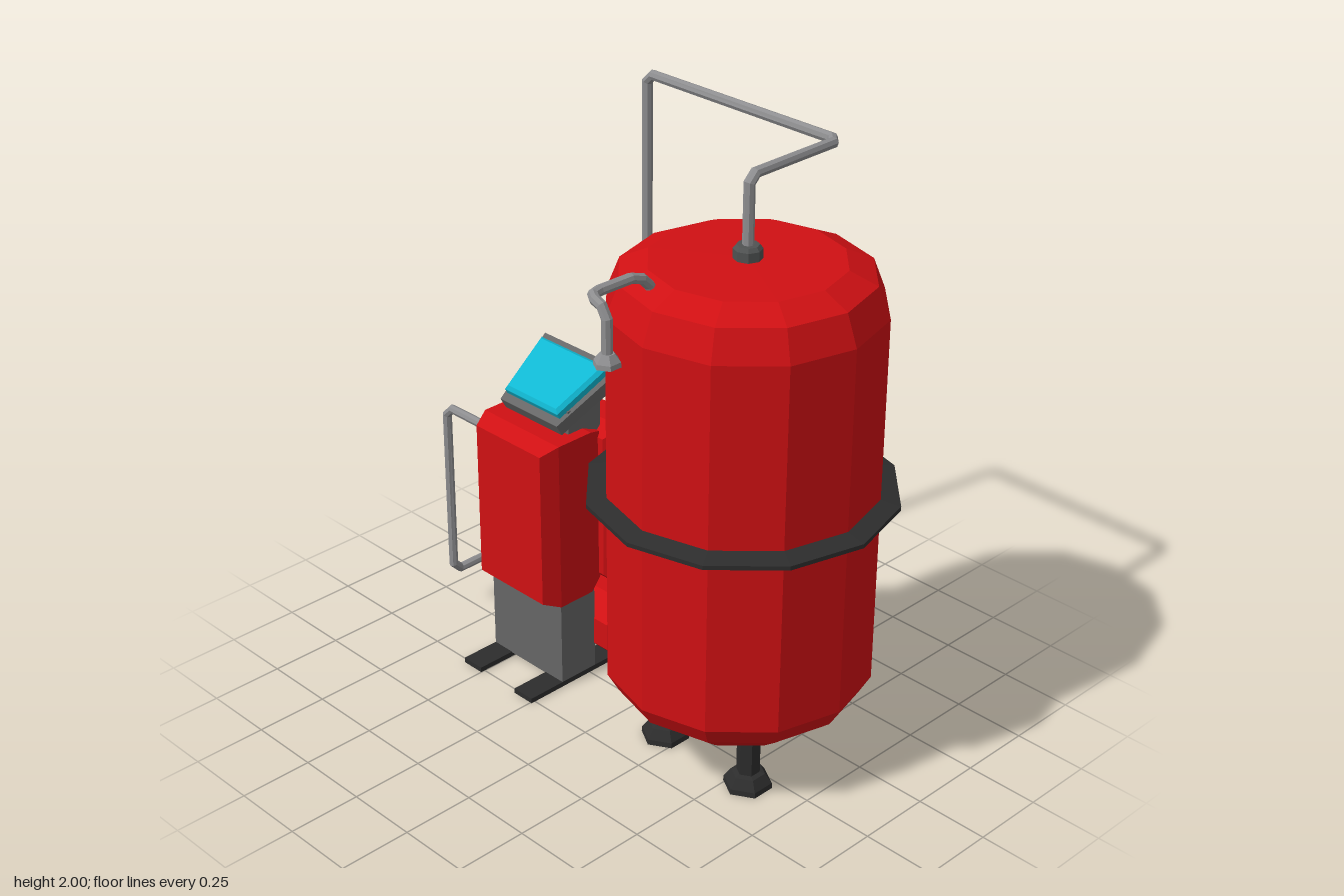
import * as THREE from 'three';

const paint = (color) => new THREE.MeshStandardMaterial({ color, flatShading: true });

// Curve that visits its points exactly, so tube rings sit on the bends
class BentPath extends THREE.Curve {
  constructor(pts) { super(); this.pts = pts; }
  index(u) { return Math.round(u * (this.pts.length - 1)); }
  getPoint(u, out = new THREE.Vector3()) { return out.copy(this.pts[this.index(u)]); }
  getPointAt(u, out) { return this.getPoint(u, out); }
  getTangentAt(u, out = new THREE.Vector3()) {
    const i = this.index(u), p = this.pts, dir = new THREE.Vector3();
    out.set(0, 0, 0);
    if (i > 0) out.add(dir.subVectors(p[i], p[i - 1]).normalize());
    if (i < p.length - 1) out.add(dir.subVectors(p[i + 1], p[i]).normalize());
    return out.normalize();
  }
}

// Pipe with every corner cut by a short bend
function pipeGeometry(points, radius, cut) {
  const v = points.map((p) => new THREE.Vector3(...p));
  const path = [];
  v.forEach((p, i) => {
    if (i === 0 || i === v.length - 1 || cut === 0) { path.push(p); return; }
    for (const q of [v[i - 1], v[i + 1]]) {
      path.push(p.clone().add(q.clone().sub(p).setLength(cut)));
    }
  });
  return new THREE.TubeGeometry(new BentPath(path), path.length - 1, radius, 8);
}

function rectPoints(w, h) {
  return [[-w, -h], [w, -h], [w, h], [-w, h]].map(([x, y]) => new THREE.Vector2(x / 2, y / 2));
}

// Shape extruded along z from 0 to depth, with one flat chamfer inside that depth
function chamfered(shape, depth, size, thickness = size) {
  return new THREE.ExtrudeGeometry(shape, {
    depth: depth - 2 * thickness, bevelEnabled: true, bevelSegments: 1,
    bevelSize: size, bevelThickness: thickness, curveSegments: 1,
  }).translate(0, 0, thickness);
}

// Trapezoid, wider at the top
function trapezoid(top, bottom, h) {
  return new THREE.Shape([[-bottom, -h], [bottom, -h], [top, h], [-top, h]]
    .map(([x, y]) => new THREE.Vector2(x / 2, y / 2)));
}

const lathe = (profile, sides) =>
  new THREE.LatheGeometry(profile.map(([r, y]) => new THREE.Vector2(r, y)), sides);

export function createModel() {
  const model = new THREE.Group();
  model.name = 'pressureTankSystem';
  const red = paint(0xd01013); red.name = 'red paint';
  const black = paint(0x2d2d2d); black.name = 'black rubber';
  const grey = paint(0x666666); grey.name = 'grey metal';
  const dark = paint(0x505252); dark.name = 'dark fittings';
  const steel = paint(0x8e8e90); steel.name = 'pipe steel';
  const cyan = paint(0x10b8d2); cyan.name = 'cyan screen';

  function add(name, geometry, material, x = 0, y = 0, z = 0) {
    const mesh = new THREE.Mesh(geometry, material);
    mesh.name = name;
    mesh.position.set(x, y, z);
    model.add(mesh);
    return mesh;
  }

  // Tank
  const tx = 0.386, tz = -0.06;
  add('tank', lathe([[0, 0.195], [0.29, 0.195], [0.39, 0.275], [0.427, 0.34],
    [0.427, 1.58], [0.388, 1.68], [0.3, 1.72], [0, 1.725]], 12), red, tx, 0, tz);
  add('tankBand', lathe([[0.42, 0.937], [0.49, 0.953], [0.49, 0.967], [0.42, 0.983]], 12), black, tx, 0, tz);
  add('tankBottomFlange', new THREE.CylinderGeometry(0.145, 0.125, 0.06, 12), dark, tx, 0.17, tz);
  add('tankTopFitting', lathe([[0.045, 1.7], [0.045, 1.755], [0.035, 1.767], [0, 1.767]], 8), dark, tx, 0, tz);

  // Tank legs
  for (const [x, z] of [[0.19, 0.07], [0.56, 0.07], [0.39, -0.27]]) {
    add('tankLeg', lathe([[0, 0], [0.08, 0], [0.078, 0.018], [0.055, 0.05],
      [0.038, 0.055], [0.038, 0.26]], 6), black, x, 0, z);
  }

  // Pump body lying along x
  const px = -0.417, pz = -0.14, py = 0.158;
  const pump = lathe([[0, -0.273], [0.085, -0.273], [0.128, -0.235],
    [0.128, 0.235], [0.085, 0.273], [0, 0.273]], 8);
  pump.rotateY(Math.PI / 8).rotateZ(Math.PI / 2);
  add('pumpBody', pump, red, px, py, pz);

  // Skids
  for (const s of [-1, 1]) {
    add('skid', new THREE.BoxGeometry(0.085, 0.018, 0.605), black, -0.415 + s * 0.128, 0.009, -0.037);
  }

  // Control cabinet
  add('pedestal', new THREE.BoxGeometry(0.34, 0.325, 0.15), grey, -0.415, 0.178, 0.05);
  add('cabinet', chamfered(new THREE.Shape(rectPoints(0.305, 0.535)), 0.26, 0.025, 0.06)
    .scale(1, 1.03, 1), red, -0.415, 0.622, -0.07);

  // Rear housing with recessed window
  const frame = new THREE.Shape(rectPoints(0.353, 0.515));
  frame.holes.push(new THREE.Path(rectPoints(0.21, 0.42).reverse()));
  add('rearHousing', chamfered(frame, 0.18, 0.045), red, -0.412, 0.622, -0.24);
  add('rearWindow', new THREE.BoxGeometry(0.14, 0.35, 0.02), grey, -0.412, 0.622, -0.183);

  // Tilted display
  add('displayNeck', new THREE.BoxGeometry(0.27, 0.12, 0.14), grey, -0.413, 0.945, -0.02);
  const tilt = -Math.PI / 3;
  const housing = new THREE.ExtrudeGeometry(trapezoid(0.365, 0.27, 0.28), { depth: 0.045, bevelEnabled: false });
  add('displayHousing', housing, grey, -0.415, 1.0, -0.045).rotation.x = tilt;
  const screen = chamfered(trapezoid(0.29, 0.23, 0.2), 0.045, 0.012).translate(0, 0, 0.036);
  add('displayScreen', screen, cyan, -0.415, 1.0, -0.045).rotation.x = tilt;

  // Pipe fittings
  const fitX = new THREE.CylinderGeometry(0.036, 0.036, 0.04, 8).rotateZ(Math.PI / 2);
  add('cabinetFitting', fitX, dark, -0.597, 0.81, 0.067);
  add('pumpInletFitting', fitX, dark, -0.708, py, pz);
  add('pumpOutletFitting', fitX, dark, -0.132, py, pz);
  const fitZ = new THREE.CylinderGeometry(0.034, 0.034, 0.04, 8).rotateX(Math.PI / 2);
  add('pumpRearFitting', fitZ, dark, -0.418, py, -0.27);

  // Pipes
  add('highPipe', pipeGeometry([[tx, 1.74, tz], [tx, 1.982, tz], [tx, 1.982, -0.44],
    [-0.418, 1.982, -0.44], [-0.418, py, -0.44], [-0.418, py, -0.27]], 0.018, 0.025), steel);
  add('sidePipe', pipeGeometry([[-0.6, 0.81, 0.067], [-0.867, 0.81, 0.067], [-0.867, py, 0.067],
    [-0.867, py, pz], [-0.7, py, pz]], 0.016, 0.03), steel);
  add('tankHose', pipeGeometry([[-0.13, py, pz], [-0.06, 0.152, -0.138], [0.06, 0.125, -0.12],
    [0.18, 0.097, -0.095], [0.28, 0.083, -0.075], [0.345, 0.09, -0.065], [0.378, 0.115, tz],
    [tx, 0.16, tz]], 0.017, 0), steel);

  // Spout on the tank shoulder
  add('spoutPipe', pipeGeometry([[0.3, 1.66, 0.235], [0.3, 1.71, 0.255], [0.3, 1.74, 0.285],
    [0.3, 1.755, 0.33], [0.3, 1.757, 0.45], [0.308, 1.757, 0.482], [0.335, 1.757, 0.5],
    [0.365, 1.75, 0.503], [tx, 1.715, 0.503], [tx, 1.6, 0.503]], 0.017, 0), steel);
  add('spoutNozzle', lathe([[0, 1.573], [0.042, 1.573], [0.04, 1.588], [0.022, 1.612], [0, 1.612]], 6),
    steel, tx, 0, 0.503);

  return model;
}
